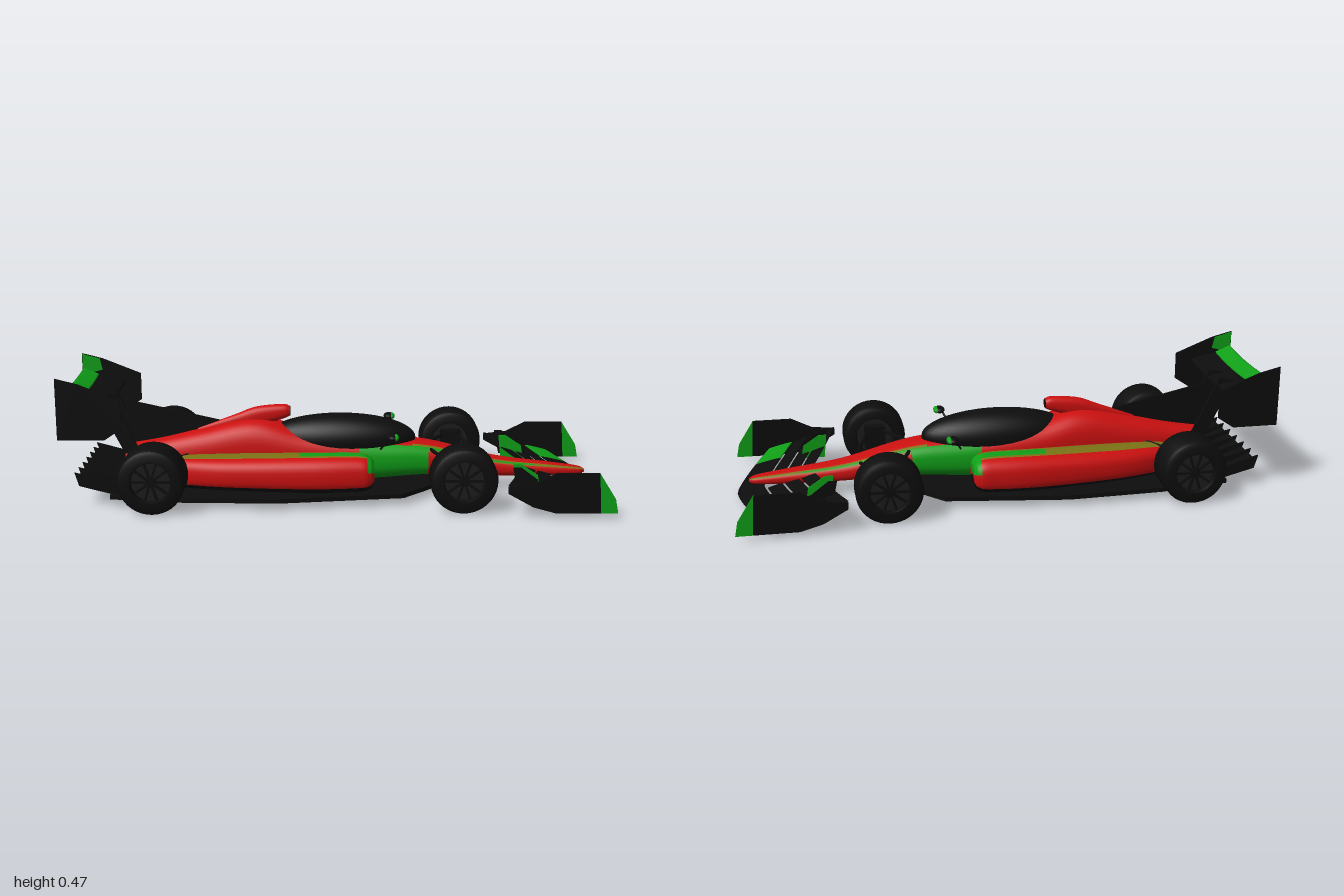
import * as THREE from 'three';
import { toCreasedNormals } from 'three/addons/utils/BufferGeometryUtils.js';

const mat = (color) => new THREE.MeshStandardMaterial({ color });
const BLACK = mat(0x0d0d0d), RED = mat(0xcc1010), GREEN = mat(0x10a018), OLIVE = mat(0x7d7416), DARK = mat(0x1c1c1c);
const lerp = THREE.MathUtils.lerp;

function add(parent, name, geo, material) {
  const m = new THREE.Mesh(geo, material);
  m.name = name;
  parent.add(m);
  return m;
}

// Skin through closed rings of points with end caps; pick(i, j, x) chooses the paint of each quad
function loft(parent, name, rings, pick) {
  const pos = [], faces = new Map(), n = rings[0].length;
  const tri = (m, ...ids) => { if (!faces.has(m)) faces.set(m, []); faces.get(m).push(...ids); };
  rings.forEach((r) => r.forEach((p) => pos.push(...p)));
  for (let i = 0; i < rings.length - 1; i++) for (let j = 0; j < n; j++) {
    const k = (j + 1) % n, a = i * n + j, b = i * n + k, c = a + n, d = b + n;
    tri(pick(i, j, (rings[i][j][0] + rings[i + 1][j][0]) / 2), a, b, d, a, d, c);
  }
  for (const end of [0, rings.length - 1]) {
    const ring = rings[end], base = pos.length / 3;
    ring.forEach((p) => pos.push(...p));
    pos.push(...[0, 1, 2].map((k) => ring.reduce((s, p) => s + p[k], 0) / n));
    for (let j = 0; j < n; j++) {
      const a = base + j, b = base + (j + 1) % n;
      tri(pick(end, j, ring[j][0]), base + n, ...(end ? [a, b] : [b, a]));
    }
  }
  const full = new THREE.BufferGeometry();
  full.setAttribute('position', new THREE.Float32BufferAttribute(pos, 3));
  full.setIndex([...faces.values()].flat());
  full.computeVertexNormals();
  const g = new THREE.Group();
  g.name = name;
  for (const [m, idx] of faces) {
    const geo = new THREE.BufferGeometry();
    geo.setAttribute('position', full.attributes.position);
    geo.setAttribute('normal', full.attributes.normal);
    geo.setIndex(idx);
    add(g, name + 'Skin', geo, m);
  }
  parent.add(g);
}

// Rounded-box sections along x; stations are [x, zCentre, halfWidth, yBottom, yTop]
const SIDES = 36;
function bodyRings(stations, steps, power) {
  const a = new THREE.CatmullRomCurve3(stations.map((s) => new THREE.Vector3(s[0], s[1], s[2])), false, 'catmullrom');
  const b = new THREE.CatmullRomCurve3(stations.map((s) => new THREE.Vector3(s[0], s[3], s[4])), false, 'catmullrom');
  const soft = (v) => Math.sign(v) * Math.abs(v) ** power;
  return Array.from({ length: steps + 1 }, (_, i) => {
    const p = a.getPoint(i / steps), q = b.getPoint(i / steps);
    return Array.from({ length: SIDES }, (_, j) => {
      const t = (j / SIDES) * Math.PI * 2;
      return [p.x, (q.y + q.z) / 2 + (q.z - q.y) / 2 * soft(Math.cos(t)), p.y + p.z * soft(Math.sin(t))];
    });
  });
}
// Angle of a quad away from straight up, in degrees
const tilt = (j) => { const d = ((j + 0.5) / SIDES) * 360; return Math.min(d, 360 - d); };

// Thin aerofoil across z; edge(z) returns [frontX, frontY, backX, backY]
function wing(parent, name, material, z0, z1, edge, thick) {
  const rings = Array.from({ length: 17 }, (_, i) => {
    const z = lerp(z0, z1, i / 16), [fx, fy, bx, by] = edge(z);
    return Array.from({ length: 12 }, (_, j) => {
      const t = (j / 12) * Math.PI * 2, k = (1 - Math.cos(t)) / 2;
      return [lerp(fx, bx, k), lerp(fy, by, k ** 1.4) + Math.sin(t) * thick / 2, z];
    });
  });
  loft(parent, name, rings, () => material);
}

// Upright flat panel from an x,y outline
function plate(parent, name, material, pts, z, thick) {
  const geo = new THREE.ExtrudeGeometry(new THREE.Shape(pts.map((p) => new THREE.Vector2(...p))), { depth: thick, bevelEnabled: false });
  add(parent, name, geo.translate(0, 0, z - thick / 2), material);
}

function strut(parent, name, from, to, r) {
  const a = new THREE.Vector3(...from), b = new THREE.Vector3(...to);
  const m = add(parent, name, new THREE.CylinderGeometry(r, r, a.distanceTo(b), 8), BLACK);
  m.position.copy(a).lerp(b, 0.5);
  m.quaternion.setFromUnitVectors(new THREE.Vector3(0, 1, 0), b.sub(a).normalize());
}

function wheel(parent, name, x, z, width) {
  const g = new THREE.Group(), h = width / 2, side = Math.sign(z);
  g.name = name;
  const profile = [[0.07, -h + 0.012], [0.074, -h], [0.1, -h], [0.114, -h + 0.006], [0.121, -h + 0.02],
    [0.121, h - 0.02], [0.114, h - 0.006], [0.1, h], [0.074, h], [0.07, h - 0.012], [0.07, -h + 0.012]];
  const tyre = new THREE.LatheGeometry(profile.map((p) => new THREE.Vector2(...p)), 40);
  add(g, 'tyre', toCreasedNormals(tyre, 0.7).rotateX(Math.PI / 2), BLACK);
  add(g, 'rim', new THREE.CylinderGeometry(0.071, 0.071, width - 0.045, 32).rotateX(Math.PI / 2), DARK);
  add(g, 'hub', new THREE.CylinderGeometry(0.018, 0.018, width - 0.015, 16).rotateX(Math.PI / 2), BLACK);
  for (let i = 0; i < 10; i++) {
    const spoke = new THREE.BoxGeometry(0.054, 0.008, 0.012).translate(0.042, 0, side * (h - 0.018));
    add(g, 'spoke', spoke.rotateZ(i * Math.PI / 5), BLACK);
  }
  g.position.set(x, 0.121, z);
  parent.add(g);
}

export function createModel() {
  const car = new THREE.Group();
  car.name = 'racingCar';

  // Main body and nose
  const body = [[-0.79, 0, 0.058, 0.06, 0.175], [-0.65, 0, 0.075, 0.045, 0.2], [-0.5, 0, 0.09, 0.04, 0.235], [-0.3, 0, 0.1, 0.04, 0.275],
    [-0.12, 0, 0.107, 0.04, 0.235], [0.12, 0, 0.104, 0.045, 0.205], [0.35, 0, 0.086, 0.06, 0.185], [0.6, 0, 0.06, 0.052, 0.125],
    [0.8, 0, 0.042, 0.052, 0.1], [0.92, 0, 0.027, 0.056, 0.085], [0.95, 0, 0.01, 0.062, 0.074]];
  loft(car, 'body', bodyRings(body, 80, 0.75), (i, j, x) => {
    const a = tilt(j);
    if (a > 145) return BLACK;
    if (x > 0.1 && x < 0.34 && a > 35) return GREEN;
    if (x > 0.3 && a > 25 && a < 65) return a > 35 && a < 55 && x < 0.75 ? GREEN : OLIVE;
    return RED;
  });

  // Cockpit canopy, air intake and spine fin
  const canopy = add(car, 'cockpitCanopy', new THREE.SphereGeometry(1, 40, 24), BLACK);
  canopy.scale.set(0.285, 0.092, 0.1);
  canopy.position.set(0.02, 0.199, 0);
  const scoop = [[-0.52, 0, 0.008, 0.2, 0.235], [-0.38, 0, 0.02, 0.23, 0.286], [-0.3, 0, 0.027, 0.24, 0.316],
    [-0.2, 0, 0.026, 0.27, 0.326], [-0.17, 0, 0.02, 0.283, 0.318]];
  loft(car, 'airIntake', bodyRings(scoop, 24, 0.8), (i, j, x) => (i === 24 ? BLACK : RED));
  plate(car, 'spineFin', BLACK, [[-0.79, 0.15], [-0.42, 0.2], [-0.42, 0.262], [-0.79, 0.345]], 0, 0.006);

  // Floor and centre plank
  const half = [[0.38, 0.09], [0.25, 0.235], [-0.2, 0.303], [-0.55, 0.293], [-0.82, 0.25]];
  const outline = [...half, ...half.map(([x, z]) => [x, -z]).reverse()].map((p) => new THREE.Vector2(...p));
  const floor = new THREE.ExtrudeGeometry(new THREE.Shape(outline), { depth: 0.016, bevelEnabled: false });
  add(car, 'floor', floor.rotateX(Math.PI / 2).translate(0, 0.042, 0), BLACK);
  add(car, 'plank', new THREE.BoxGeometry(1.34, 0.008, 0.12).translate(-0.15, 0.026, 0), BLACK);

  // Diffuser ramp with upright strakes
  const ramp = add(car, 'diffuserRamp', new THREE.BoxGeometry(0.165, 0.008, 0.46), BLACK);
  ramp.position.set(-0.865, 0.068, 0);
  ramp.rotation.z = -0.4;
  for (let i = -3; i <= 3; i++) {
    plate(car, 'diffuserStrake', BLACK, [[-0.78, 0.03], [-0.78, 0.075], [-0.95, 0.12], [-0.935, 0.07]], i * 0.075, 0.006);
  }

  // Front wing: swept main plane and three flaps
  const frontEdge = (f0, f1) => (z) => {
    const s = Math.abs(z) / 0.39, fx = lerp(0.995, 0.875, s ** 1.4), bx = lerp(0.72, 0.61, s);
    const y = (f) => 0.02 + 0.025 * s * s + 0.075 * f ** 1.2;
    return [lerp(fx, bx, f0), y(f0), lerp(fx, bx, f1), y(f1)];
  };
  wing(car, 'frontWingMainPlane', BLACK, -0.255, 0.255, frontEdge(0, 0.36), 0.012);
  // Rear wing: dark main plane and green flap, bowed up at the tips
  const bow = (z) => 0.016 * (z / 0.256) ** 2;
  wing(car, 'rearWingMainPlane', BLACK, -0.256, 0.256, (z) => [-0.83, 0.35 + bow(z), -0.945, 0.372 + bow(z)], 0.016);
  wing(car, 'rearWingFlap', GREEN, -0.256, 0.256, (z) => [-0.935, 0.376 + bow(z), -0.995, 0.402 + bow(z)], 0.009);

  for (const s of [1, -1]) {
    const side = s > 0 ? 'left' : 'right';

    // Sidepod with a painted stripe along the top
    const pod = [[-0.74, 0.08, 0.03, 0.05, 0.115], [-0.6, 0.115, 0.06, 0.042, 0.15], [-0.4, 0.15, 0.085, 0.04, 0.165], [-0.1, 0.185, 0.085, 0.04, 0.178],
      [0.08, 0.19, 0.08, 0.045, 0.18], [0.125, 0.192, 0.07, 0.055, 0.168], [0.142, 0.195, 0.05, 0.075, 0.15]];
    loft(car, side + 'Sidepod', bodyRings(pod.map(([x, z, ...r]) => [x, z * s, ...r]), 48, 0.72), (i, j, x) => {
      const a = tilt(j);
      if (a > 120) return BLACK;
      if (x > 0.115 && a < 80) return GREEN;
      return a < 20 && x > -0.62 ? (x > -0.15 && a < 10 ? GREEN : OLIVE) : RED;
    });

    // Wheels
    wheel(car, side + 'FrontWheel', 0.46, s * 0.3, 0.12);
    wheel(car, side + 'RearWheel', -0.655, s * 0.3, 0.15);

    // Suspension arms
    for (const [y, yIn] of [[0.085, 0.09], [0.15, 0.165]]) {
      for (const x of [0.36, 0.54]) strut(car, side + 'FrontArm', [0.46 + (x > 0.46 ? 0.025 : -0.025), y, s * 0.245], [x, x > 0.46 ? yIn * 0.8 : yIn, s * 0.065], 0.007);
      for (const x of [-0.53, -0.75]) strut(car, side + 'RearArm', [-0.655, y, s * 0.235], [x, y, s * 0.05], 0.006);
    }
    add(car, side + 'FrontUpright', new THREE.BoxGeometry(0.08, 0.1, 0.04).translate(0.46, 0.12, s * 0.235), BLACK);

    // Mirror on its stalk
    strut(car, side + 'MirrorStalk', [0.2, 0.235, s * 0.165], [0.17, 0.175, s * 0.095], 0.004);
    const mirror = add(car, side + 'Mirror', new THREE.SphereGeometry(1, 16, 12), BLACK);
    mirror.scale.set(0.02, 0.013, 0.03);
    mirror.position.set(0.21, 0.24, s * 0.18);
    const face = add(car, side + 'MirrorShell', new THREE.SphereGeometry(1, 16, 12), GREEN);
    face.scale.set(0.012, 0.012, 0.028);
    face.position.set(0.222, 0.24, s * 0.18);

    // Front wing tip, flaps, endplate and fences
    const span = (a, b) => (s > 0 ? [a, b] : [-b, -a]);
    wing(car, side + 'FrontWingTip', GREEN, ...span(0.255, 0.392), frontEdge(0, 0.36), 0.012);
    for (const [f0, f1] of [[0.385, 0.58], [0.605, 0.79], [0.815, 1]]) {
      wing(car, side + 'FrontFlap', BLACK, ...span(0.03, 0.392), frontEdge(f0, f1), 0.008);
    }
    plate(car, side + 'FrontEndplate', BLACK, [[0.61, 0.09], [0.7, 0.04], [0.78, 0.018], [0.94, 0.018], [0.93, 0.165], [0.78, 0.165], [0.7, 0.125], [0.61, 0.115]], s * 0.393, 0.007);
    plate(car, side + 'FrontEndplateTip', GREEN, [[0.94, 0.018], [1, 0.018], [0.99, 0.07], [0.93, 0.165]], s * 0.393, 0.007);
    plate(car, side + 'InnerFence', GREEN, [[0.66, 0.06], [0.75, 0.06], [0.74, 0.11], [0.68, 0.15], [0.65, 0.15]], s * 0.22, 0.004);
    plate(car, side + 'OuterFence', BLACK, [[0.66, 0.06], [0.75, 0.06], [0.73, 0.11], [0.67, 0.155], [0.64, 0.155]], s * 0.285, 0.004);

    // Rear wing endplate, its painted inner corner and the pylon
    plate(car, side + 'RearEndplate', BLACK, [[-1, 0.25], [-0.83, 0.25], [-0.77, 0.29], [-0.77, 0.395], [-0.92, 0.455], [-1, 0.475]], s * 0.257, 0.006);
    plate(car, side + 'RearEndplatePaint', GREEN, [[-0.998, 0.39], [-0.92, 0.41], [-0.93, 0.455], [-0.998, 0.473]], s * 0.253, 0.004);
    plate(car, side + 'RearWingPylon', BLACK, [[-0.79, 0.15], [-0.73, 0.15], [-0.84, 0.38], [-0.9, 0.37]], s * 0.058, 0.01);
  }
  return car;
}
